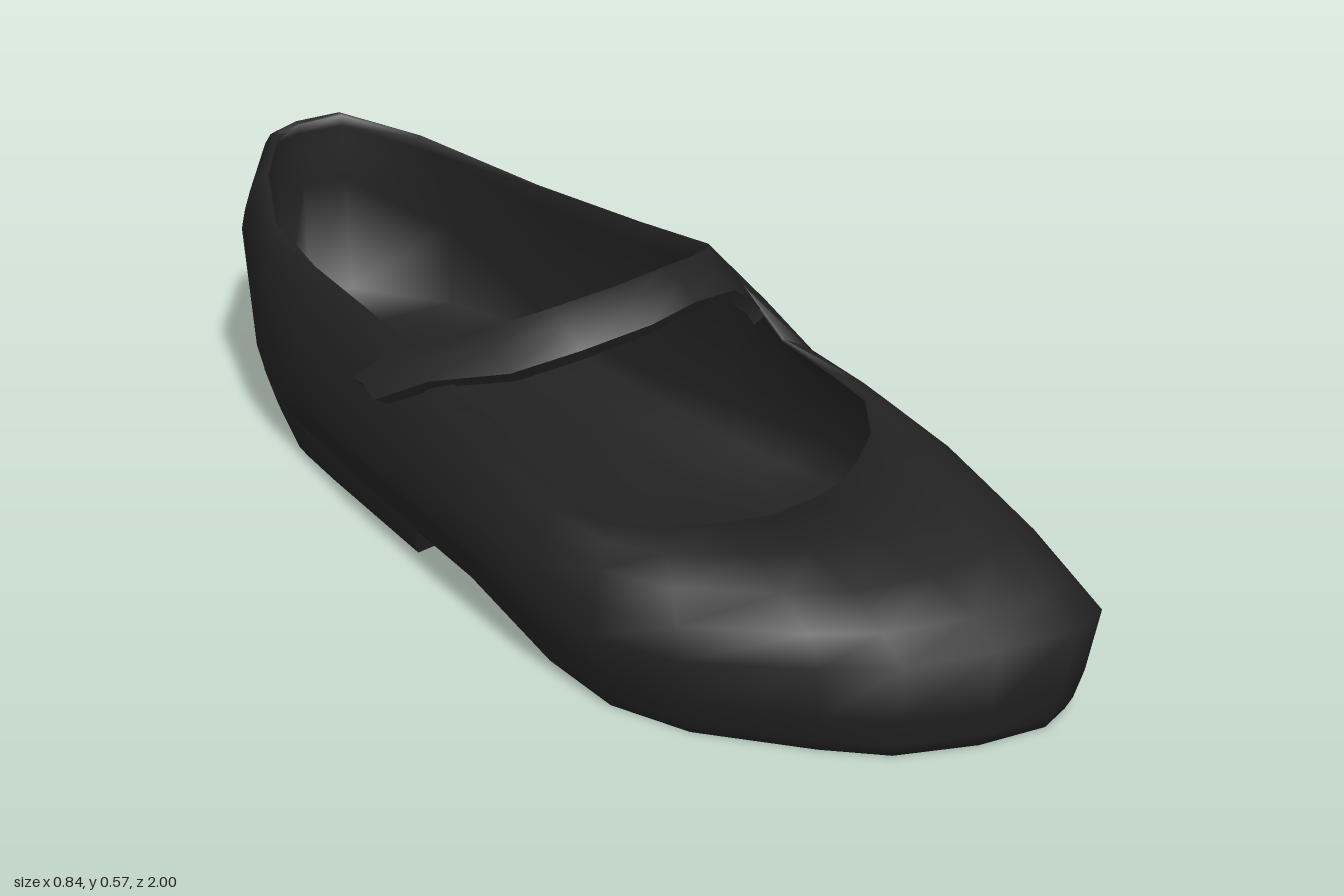
import * as THREE from 'three';
import { toCreasedNormals } from 'three/addons/utils/BufferGeometryUtils.js';

// Stations clockwise from the heel: widest outline x, z, then opening rim x, y, z
const STATIONS = [
  [-0.02, -0.99, -0.02, 0.555, -0.95], [0.07, -0.96, 0.07, 0.555, -0.93],
  [0.205, -0.76, 0.16, 0.53, -0.78], [0.27, -0.5, 0.23, 0.503, -0.5],
  [0.295, -0.2, 0.255, 0.52, -0.22], [0.345, 0, 0.252, 0.55, -0.02],
  [0.375, 0.11, 0.247, 0.5, 0.1],
  [0.405, 0.22, 0.265, 0.425, 0.18], [0.42, 0.4, 0.28, 0.398, 0.3],
  [0.385, 0.62, 0.27, 0.39, 0.4], [0.355, 0.82, 0.22, 0.37, 0.47],
  [0.29, 0.98, 0.16, 0.35, 0.5], [0.21, 1, 0.1, 0.335, 0.52],
  [0.06, 0.965, 0.03, 0.325, 0.52], [-0.1, 0.89, -0.06, 0.32, 0.51],
  [-0.2, 0.79, -0.15, 0.325, 0.48], [-0.355, 0.6, -0.25, 0.33, 0.43],
  [-0.415, 0.44, -0.31, 0.335, 0.37], [-0.42, 0.27, -0.325, 0.345, 0.25],
  [-0.39, 0, -0.29, 0.385, 0], [-0.35, -0.3, -0.27, 0.425, -0.28],
  [-0.31, -0.58, -0.255, 0.455, -0.58], [-0.29, -0.7, -0.23, 0.48, -0.74],
  [-0.21, -0.88, -0.16, 0.518, -0.86], [-0.08, -1, -0.07, 0.548, -0.95],
];

const { lerp, smoothstep } = THREE.MathUtils;
const archHeight = (z) => 0.005 + 0.06 * (1 - smoothstep(z, -0.05, 0.42));
const insoleHeight = (z) => 0.055 + 0.09 * (1 - smoothstep(z, -0.5, 0.4));
const bulgeHeight = (z) => 0.18 + 0.25 * smoothstep(-z, 0.4, 1) + 0.03 * smoothstep(z, 0.6, 1);

// Skins closed rings of [x, y, z] points
function loft(rings, crease) {
  const n = rings[0].length;
  const index = [];
  for (let i = 0; i < rings.length - 1; i++) {
    for (let j = 0; j < n; j++) {
      const a = i * n + j, b = i * n + (j + 1) % n;
      index.push(a, a + n, b, b, a + n, b + n);
    }
  }
  const geometry = new THREE.BufferGeometry();
  geometry.setAttribute('position', new THREE.Float32BufferAttribute(rings.flat(2), 3));
  geometry.setIndex(index);
  return toCreasedNormals(geometry, crease);
}

// Underside, outer wall, rim, lining and insole as one continuous skin
function upperGeometry() {
  const ring = (fn) => STATIONS.map(([x, z, rx, ry, rz]) => fn(x, z, rx, ry, rz));
  const floor = (s, height, lift = 0, sx = 0.86, sz = 0.965) =>
    ring((x, z) => [x * s * sx, height(z * s) + lift, z * s * sz]);
  const wall = (t, ty, inset = 0) => ring((x, z, rx, ry, rz) => [
    lerp(x, rx, t) * (1 - inset * 1.5),
    lerp(bulgeHeight(z), ry, ty) - inset * 0.5,
    lerp(z, rz, t) * (1 - inset),
  ]);
  return loft([
    floor(0.002, archHeight), floor(0.35, archHeight), floor(0.7, archHeight), floor(1, archHeight),
    floor(1, archHeight, 0.025, 0.89, 0.975), floor(1, archHeight, 0.08, 0.94, 0.985),
    wall(0, 0), wall(0.15, 0.35), wall(0.37, 0.69), wall(0.68, 0.9), wall(1, 1),
    wall(1, 1, 0.008), wall(0.68, 0.88, 0.02), wall(0.37, 0.65, 0.035), wall(0.1, 0.1, 0.05),
    floor(1, insoleHeight, 0.03, 0.88, 0.94), floor(0.85, insoleHeight, 0.005),
    floor(0.5, insoleHeight), floor(0.002, insoleHeight),
  ], 1.45);
}

// Low heel block with a straight front edge, flush with the wall above
function heelGeometry() {
  const outline = [
    ...STATIONS.slice(0, 4).map(([x, z]) => [x, z]),
    [0.295, -0.18], [-0.36, -0.18],
    ...STATIONS.slice(21).map(([x, z]) => [x, z]),
  ];
  const ring = (y, sx, sz, s = 1) => outline.map(([x, z]) => [
    -0.02 + (x * sx + 0.02) * s, y, -0.5 + ((z < -0.2 ? z * sz : z - (0.09 - y) * 0.3) + 0.5) * s]);
  return loft([
    ring(0.008, 0.84, 0.915, 0.002), ring(0.008, 0.84, 0.915),
    ring(0.025, 0.87, 0.935), ring(0.09, 0.892, 0.976), ring(0.09, 0.892, 0.976, 0.002),
  ], 1.1);
}

// Strap sections: rear edge x, y, z and front edge x, y, z
const STRAP = [
  [0.258, 0.525, -0.06, 0.258, 0.46, 0.135],
  [0.248, 0.55, -0.01, 0.246, 0.485, 0.12],
  [0.18, 0.57, 0.03, 0.19, 0.53, 0.125],
  [0.09, 0.577, 0.04, 0.09, 0.54, 0.13],
  [-0.01, 0.568, 0.03, -0.01, 0.525, 0.125],
  [-0.13, 0.54, -0.02, -0.13, 0.49, 0.07],
  [-0.22, 0.488, -0.11, -0.23, 0.445, -0.01],
  [-0.305, 0.435, -0.24, -0.315, 0.405, -0.14],
  [-0.365, 0.36, -0.31, -0.375, 0.35, -0.23],
];

function strapGeometry() {
  const centre = new THREE.Vector3(0, 0.15, -0.05);
  const inward = (p) => {
    const v = new THREE.Vector3(...p);
    return v.add(centre.clone().sub(v).setLength(0.028)).toArray();
  };
  const rings = STRAP.map((s) => {
    const rear = s.slice(0, 3), front = s.slice(3);
    const crown = rear.map((v, k) => (v + front[k]) / 2 + (k === 1 ? 0.01 : 0));
    return [rear, inward(rear), inward(front), front, crown];
  });
  const cap = (ring) => {
    const mid = [0, 1, 2].map((k) => ring.reduce((sum, p) => sum + p[k], 0) / ring.length);
    return ring.map((p) => p.map((v, k) => lerp(mid[k], v, 0.01)));
  };
  return loft([cap(rings[0]), ...rings, cap(rings[rings.length - 1])], 0.9);
}

export function createModel() {
  const model = new THREE.Group();
  model.name = 'strapShoe';
  const leather = new THREE.MeshStandardMaterial({ color: 0x212121, side: THREE.DoubleSide });
  leather.name = 'blackLeather';

  const add = (name, geometry) => {
    const mesh = new THREE.Mesh(geometry, leather);
    mesh.name = name;
    model.add(mesh);
  };
  add('upper', upperGeometry());
  add('heel', heelGeometry());
  add('strap', strapGeometry());
  return model;
}
